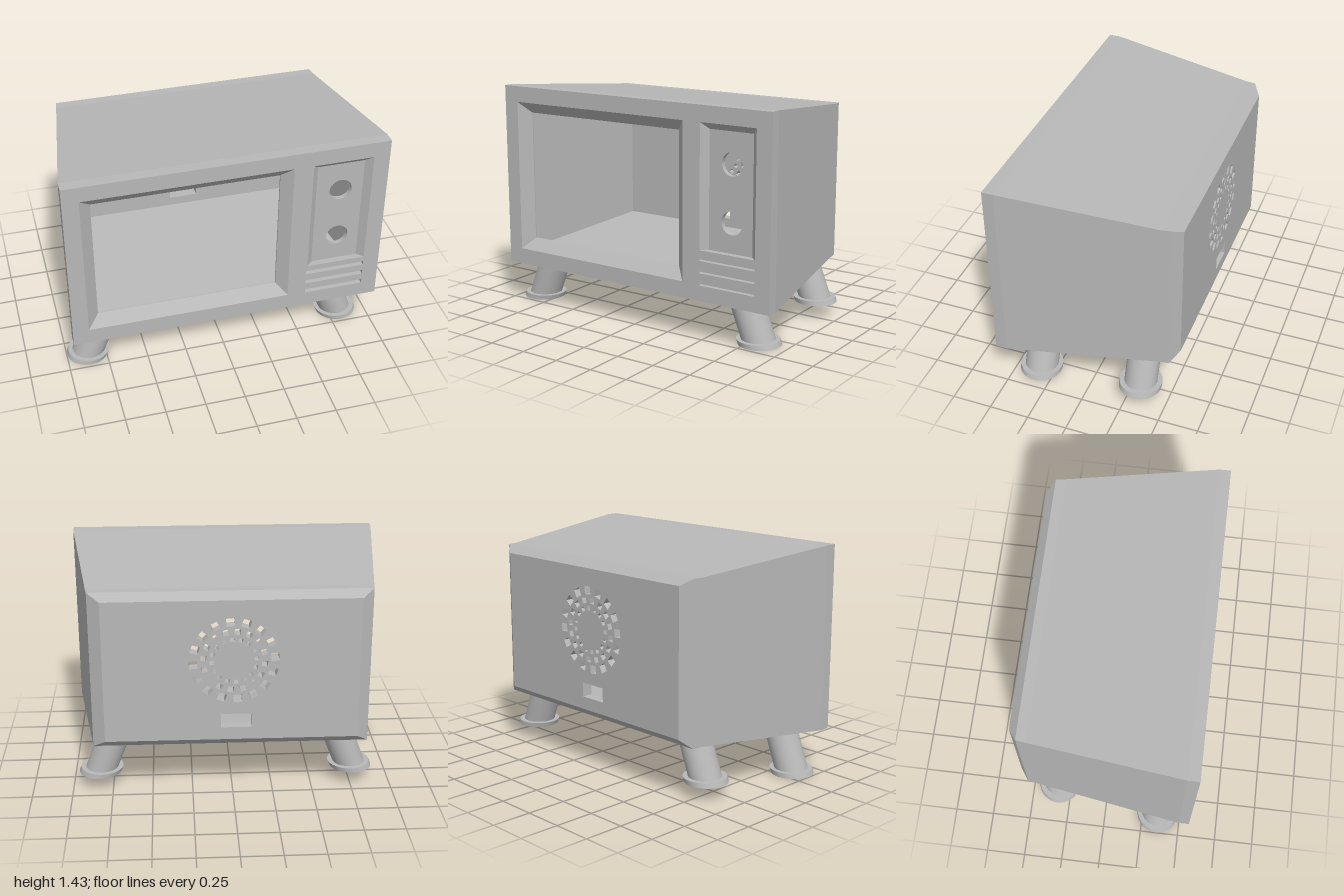
import * as THREE from 'three';

const grey = new THREE.MeshStandardMaterial({ color: 0xb8b8b8 });
grey.name = 'plain grey';

// Rectangular sections [z, x0, x1, y0, y1] joined by flat walls.
// Listed back to front the walls face outward, front to back they face inward.
function rectLoft(sections) {
  const pos = [];
  const corners = ([z, x0, x1, y0, y1]) => [[x0, y0, z], [x1, y0, z], [x1, y1, z], [x0, y1, z]];
  for (let s = 0; s < sections.length - 1; s++) {
    const a = corners(sections[s]), b = corners(sections[s + 1]);
    for (let i = 0; i < 4; i++) {
      const j = (i + 1) % 4;
      pos.push(...a[i], ...a[j], ...b[j], ...a[i], ...b[j], ...b[i]);
    }
  }
  const g = new THREE.BufferGeometry();
  g.setAttribute('position', new THREE.Float32BufferAttribute(pos, 3));
  g.computeVertexNormals();
  return g;
}

const poly = (Type, pts) => new Type(pts.map(([x, y]) => new THREE.Vector2(x, y)));
const rect = (Type, [x0, x1, y0, y1]) => poly(Type, [[x0, y0], [x1, y0], [x1, y1], [x0, y1]]);
const rectHole = (r) => rect(THREE.Path, r);

function plate(r, holes) {
  const shape = rect(THREE.Shape, r);
  shape.holes.push(...holes);
  return shape;
}

// Square hole turned to face the centre of the vent
function ventHole(cx, cy, radius, angle, size) {
  const c = Math.cos(angle), s = Math.sin(angle), h = size / 2;
  return poly(THREE.Path, [[-h, -h], [h, -h], [h, h], [-h, h]].map(([u, v]) => [
    cx + (radius + u) * c - v * s, cy + (radius + u) * s + v * c]));
}

export function createModel() {
  const root = new THREE.Group();
  root.name = 'televisionCabinet';
  const add = (name, geometry, z = 0) => {
    const m = new THREE.Mesh(geometry, grey);
    m.name = name;
    m.position.z = z;
    root.add(m);
    return m;
  };

  const FRONT = 0.56, INSIDE = 0.49;
  const screenOuter = [-0.87, 0.40, 0.365, 1.33], screenInner = [-0.80, 0.335, 0.435, 1.26];
  const panelOuter = [0.52, 0.895, 0.575, 1.33], panelInner = [0.56, 0.855, 0.575, 1.29];
  const grooves = [0.36, 0.435, 0.51].map((y) => [0.515, 0.895, y, y + 0.03]);
  const frontRect = [-0.97, 0.995, 0.265, 1.43];
  const cavityFront = [-0.90, 0.93, 0.335, 1.36];
  const backRect = [-0.76, 0.78, 0.40, 1.295];

  // Tapered outer shell and inner cavity walls
  add('outerShell', rectLoft([
    [-0.56, ...backRect],
    [-0.51, -0.83, 0.855, 0.35, 1.34],
    [-0.45, -0.838, 0.864, 0.35, 1.34],
    [INSIDE, ...frontRect],
    [FRONT, ...frontRect],
  ]));
  add('innerWalls', rectLoft([[INSIDE, ...cavityFront], [-0.49, -0.75, 0.78, 0.42, 1.27]]));

  // Front face, and its reverse side inside the cavity
  add('frontFace', new THREE.ShapeGeometry(
    plate(frontRect, [screenOuter, panelOuter, ...grooves].map(rectHole))), FRONT);
  const reverse = new THREE.ShapeGeometry(plate(
    [-cavityFront[1], -cavityFront[0], cavityFront[2], cavityFront[3]],
    [screenInner, panelInner].map(([x0, x1, y0, y1]) => rectHole([-x1, -x0, y0, y1]))));
  add('frontFaceReverse', reverse.rotateY(Math.PI), INSIDE);

  // Bevelled screen opening
  add('screenBevel', rectLoft([[FRONT, ...screenOuter], [0.50, ...screenInner], [INSIDE, ...screenInner]]));

  // Recessed control panel with two knob holes
  add('panelBevel', rectLoft([[FRONT, ...panelOuter], [0.52, ...panelInner]]));
  const knobHoles = [0.755, 1.10].map((y) => new THREE.Path().absarc(0.715, y, 0.07, 0, Math.PI * 2, true));
  add('controlPanel', new THREE.ExtrudeGeometry(plate(panelInner, knobHoles),
    { depth: 0.03, bevelEnabled: false, curveSegments: 24 }), INSIDE);

  // Shallow grooves under the panel
  grooves.forEach((r) => {
    add('grooveWalls', rectLoft([[FRONT, ...r], [0.53, ...r]]));
    add('grooveFloor', new THREE.ShapeGeometry(plate(r, [])), 0.53);
  });

  // Back plate with three rings of vent holes and a cable slot
  const holes = [rectHole([-0.11, 0.075, 0.48, 0.57])];
  [[0.245, 0.05, 0], [0.185, 0.036, 0.5], [0.135, 0.025, 0]].forEach(([radius, size, shift]) => {
    for (let i = 0; i < 16; i++) {
      const angle = (-5 + (i + shift) * 22.5) * Math.PI / 180;
      holes.push(ventHole(-0.003, 0.915, radius, angle, size));
    }
  });
  add('backPlate', new THREE.ExtrudeGeometry(plate(backRect, holes),
    { depth: 0.07, bevelEnabled: false }), -0.56);

  // Splayed legs: upright cylinders sheared towards the middle, on flat feet
  const legs = [
    ['frontRightLeg', -0.865, 0, 0.35, 0.31, 0.105],
    ['frontLeftLeg', 0.815, 0, 0.35, 0.31, 0.105],
    ['backRightLeg', -0.76, 0.09, -0.323, 0.37, 0.102],
    ['backLeftLeg', 0.83, 0.09, -0.323, 0.37, 0.102],
  ];
  legs.forEach(([name, x, y, z, top, r]) => {
    const lean = x < 0 ? 0.39 : -0.39;
    const shear = new THREE.Matrix4().set(1, lean, 0, 0, 0, 1, 0, 0, 0, 0, 1, 0, 0, 0, 0, 1);
    const leg = new THREE.Group();
    leg.name = name;
    leg.position.set(x, y, z);
    const h = top - y;
    const shaft = new THREE.Mesh(
      new THREE.CylinderGeometry(r, r, h, 40).translate(0, h / 2, 0).applyMatrix4(shear), grey);
    shaft.name = 'shaft';
    const foot = new THREE.Mesh(
      new THREE.CylinderGeometry(0.133, 0.133, 0.03, 40).translate(0, 0.015, 0).applyMatrix4(shear), grey);
    foot.name = 'foot';
    leg.add(shaft, foot);
    root.add(leg);
  });

  return root;
}
